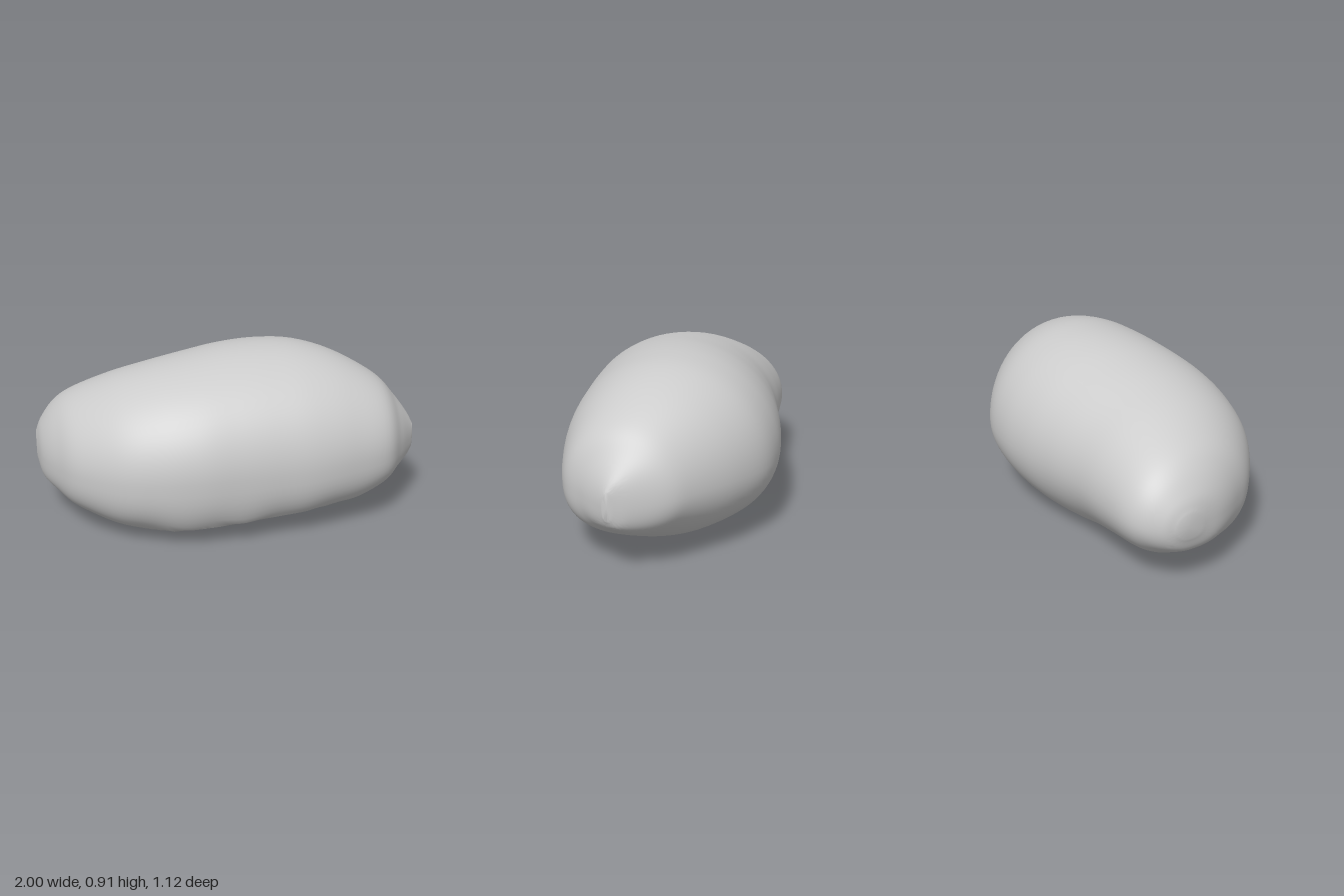
import * as THREE from 'three';
import { toCreasedNormals } from 'three/addons/utils/BufferGeometryUtils.js';

// Cross-sections along the stone: x, back z, front z, low y, widest y, top y
const STATIONS = [
  [-1.0, -0.25, -0.11, 0.30, 0.36, 0.43],
  [-0.97, -0.32, 0.03, 0.22, 0.36, 0.51],
  [-0.9, -0.395, 0.17, 0.17, 0.37, 0.61],
  [-0.8, -0.435, 0.31, 0.11, 0.38, 0.69],
  [-0.6, -0.45, 0.46, 0.05, 0.39, 0.785],
  [-0.4, -0.465, 0.53, 0.0, 0.4, 0.845],
  [-0.2, -0.505, 0.555, -0.04, 0.41, 0.885],
  [0, -0.545, 0.545, -0.04, 0.41, 0.915],
  [0.2, -0.56, 0.53, -0.01, 0.41, 0.925],
  [0.4, -0.53, 0.51, 0.04, 0.41, 0.91],
  [0.6, -0.42, 0.465, 0.08, 0.42, 0.85],
  [0.8, -0.255, 0.395, 0.17, 0.42, 0.74],
  [0.9, -0.15, 0.28, 0.23, 0.41, 0.63],
  [0.97, 0.0, 0.185, 0.28, 0.4, 0.535],
  [1.0, 0.1, 0.145, 0.33, 0.4, 0.475],
];
const ROWS = 84, SIDES = 72;

const curve = (a, b, c) => new THREE.CatmullRomCurve3(
  STATIONS.map((s) => new THREE.Vector3(s[a], s[b], s[c])), false, 'catmullrom', 0.5);

// Rounded cross-section with a fuller lower front, cut off by the tilted flat base
function sectionPoint(plan, height, angle) {
  const c = Math.cos(angle), s = Math.sin(angle);
  const [x, back, front] = plan.toArray();
  const [low, mid, top] = height.toArray();
  const power = 2 / (s < 0 && c > 0 ? 2.6 : 2);
  const across = Math.sign(c) * Math.abs(c) ** power;
  const up = Math.sign(s) * Math.abs(s) ** power;
  const z = (back + front) / 2 + across * (front - back) / 2;
  let y = mid + up * (s > 0 ? top - mid : mid - low);
  // Gentle lumps low on the front
  if (s < 0 && c > 0) y += 0.01 * Math.sin(x * 19 + 1) * Math.sin(2 * angle) * (1 - Math.abs(x));
  return [x, Math.max(y, 0.06 + 0.08 * x + 0.15 * z, 0), z];
}

function stoneGeometry() {
  const plans = curve(0, 1, 2), heights = curve(3, 4, 5);
  const positions = [], index = [];
  for (let i = 0; i <= ROWS; i++) {
    const plan = plans.getPoint(i / ROWS), height = heights.getPoint(i / ROWS);
    for (let j = 0; j < SIDES; j++) {
      positions.push(...sectionPoint(plan, height, (j / SIDES) * Math.PI * 2));
    }
  }
  for (let i = 0; i < ROWS; i++) {
    for (let j = 0; j < SIDES; j++) {
      const a = i * SIDES + j, b = i * SIDES + (j + 1) % SIDES;
      index.push(a, b, a + SIDES, b, b + SIDES, a + SIDES);
    }
  }
  // Close the two tips
  for (const row of [0, ROWS]) {
    const s = STATIONS[row ? STATIONS.length - 1 : 0], tip = positions.length / 3;
    positions.push(s[0], s[4], (s[1] + s[2]) / 2);
    for (let j = 0; j < SIDES; j++) {
      const a = row * SIDES + j, b = row * SIDES + (j + 1) % SIDES;
      index.push(tip, row ? a : b, row ? b : a);
    }
  }
  // The sections run clockwise seen from +x, so turn every face outward
  const geometry = new THREE.BufferGeometry();
  geometry.setAttribute('position', new THREE.Float32BufferAttribute(positions, 3));
  geometry.setIndex(index.reverse());
  return toCreasedNormals(geometry, 0.7);
}

export function createModel() {
  const group = new THREE.Group();
  group.name = 'boulder';
  const stone = new THREE.Mesh(stoneGeometry(), new THREE.MeshStandardMaterial({ color: 0xcccccc }));
  stone.name = 'stone';
  group.add(stone);
  return group;
}
